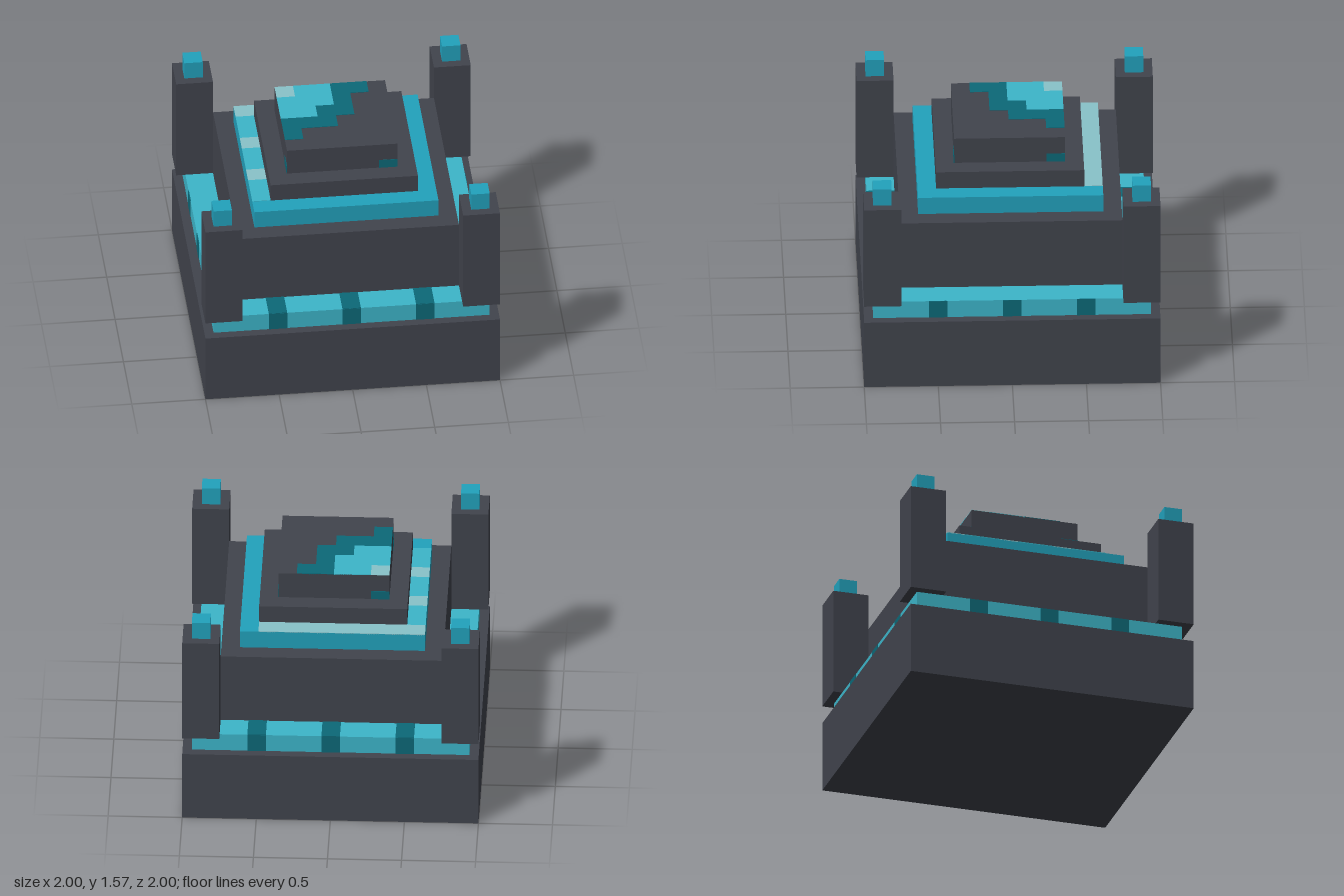
import * as THREE from 'three';

const mat = (name, color) => {
  const m = new THREE.MeshStandardMaterial({ color });
  m.name = name;
  return m;
};

export function createModel() {
  const model = new THREE.Group();
  model.name = 'steppedPedestal';
  const stone = mat('darkStone', 0x41444d);
  const blue = mat('mediumBlue', 0x22a2bd);
  const cyan = mat('lightCyan', 0x3db6ca);
  const teal = mat('deepTeal', 0x0c6978);
  const pale = mat('paleCyan', 0x89c3ca);
  const E = 0.003; // how far painted plates stand proud

  // Box given by its minimum and maximum corners
  const box = (name, material, x0, x1, y0, y1, z0, z1, parent = model) => {
    const mesh = new THREE.Mesh(new THREE.BoxGeometry(x1 - x0, y1 - y0, z1 - z0), material);
    mesh.position.set((x0 + x1) / 2, (y0 + y1) / 2, (z0 + z1) / 2);
    mesh.name = name;
    parent.add(mesh);
    return mesh;
  };
  // Thin plate lying on a horizontal surface at height y
  const plate = (name, material, x0, x1, z0, z1, y) =>
    box(name, material, x0, x1, y - E, y + E, z0, z1);

  // Stacked square tiers: name, material, half width, bottom, top
  [
    ['base', stone, 1, 0, 0.5],
    ['glowBand', cyan, 0.9375, 0.5, 0.625],
    ['body', stone, 0.75, 0.625, 1.125],
    ['blueStep', blue, 0.625, 1.125, 1.25],
    ['stoneStep', stone, 0.5, 1.25, 1.375],
    ['topBlock', stone, 0.375, 1.375, 1.5625],
  ].forEach(([name, m, h, y0, y1]) => box(name, m, -h, h, y0, y1, -h, h));

  // Corner pillars with small cube caps
  for (const sx of [-1, 1]) for (const sz of [-1, 1]) {
    const pillar = new THREE.Group();
    pillar.name = 'cornerPillar';
    pillar.position.set(sx * 0.875, 0, sz * 0.875);
    box('pillarShaft', stone, -0.125, 0.125, 0.625, 1.375, -0.125, 0.125, pillar);
    box('pillarCap', blue, -0.0625, 0.0625, 1.375, 1.5, -0.0625, 0.0625, pillar);
    model.add(pillar);
  }

  // Each side: three band marks and one mark at the foot of the top block
  for (let i = 0; i < 4; i++) {
    const side = new THREE.Group();
    side.name = 'sideMarks';
    side.rotation.y = i * Math.PI / 2;
    for (const x of [-0.5, 0, 0.5])
      box('bandMark', teal, x - 0.0625, x + 0.0625, 0.5, 0.625, 0.9375 - E, 0.9375 + E, side);
    box('topBlockMark', teal, 0.25, 0.375, 1.375, 1.4375, 0.375 - E, 0.375 + E, side);
    model.add(side);
  }

  // Band marks continue over the top at front and back
  for (const s of [-1, 1]) for (const x of [-0.5, 0, 0.5])
    plate('bandTopMark', teal, x - 0.0625, x + 0.0625,
      s * 0.84375 - 0.09375, s * 0.84375 + 0.09375, 0.625);

  // Highlights on the back and left-hand edges of the blue step
  plate('stepBackHighlight', pale, -0.625, 0.5, -0.625, -0.5, 1.25);
  [[-0.5, -0.25, cyan], [-0.25, -0.125, pale], [-0.125, 0.125, cyan],
    [0.125, 0.25, pale], [0.25, 0.5, cyan]].forEach(([z0, z1, m]) =>
    plate('stepSideHighlight', m, -0.625, -0.5, z0, z1, 1.25));

  // Stepped patch on the top block, in eighth-unit cells from its back corner:
  // material, first column, end column, first row, end row
  [
    [pale, 0, 1, 0, 1], [cyan, 1, 3, 0, 1], [cyan, 0, 3, 1, 2], [cyan, 0, 2, 2, 3],
    [teal, 3, 5, 0, 1], [teal, 3, 4, 1, 2], [teal, 2, 4, 2, 3],
    [teal, 0, 3, 3, 4], [teal, 0, 1, 4, 5],
  ].forEach(([m, c0, c1, r0, r1]) => plate('topPatch', m,
    c0 / 8 - 0.375, c1 / 8 - 0.375, r0 / 8 - 0.375, r1 / 8 - 0.375, 1.5625));

  return model;
}
